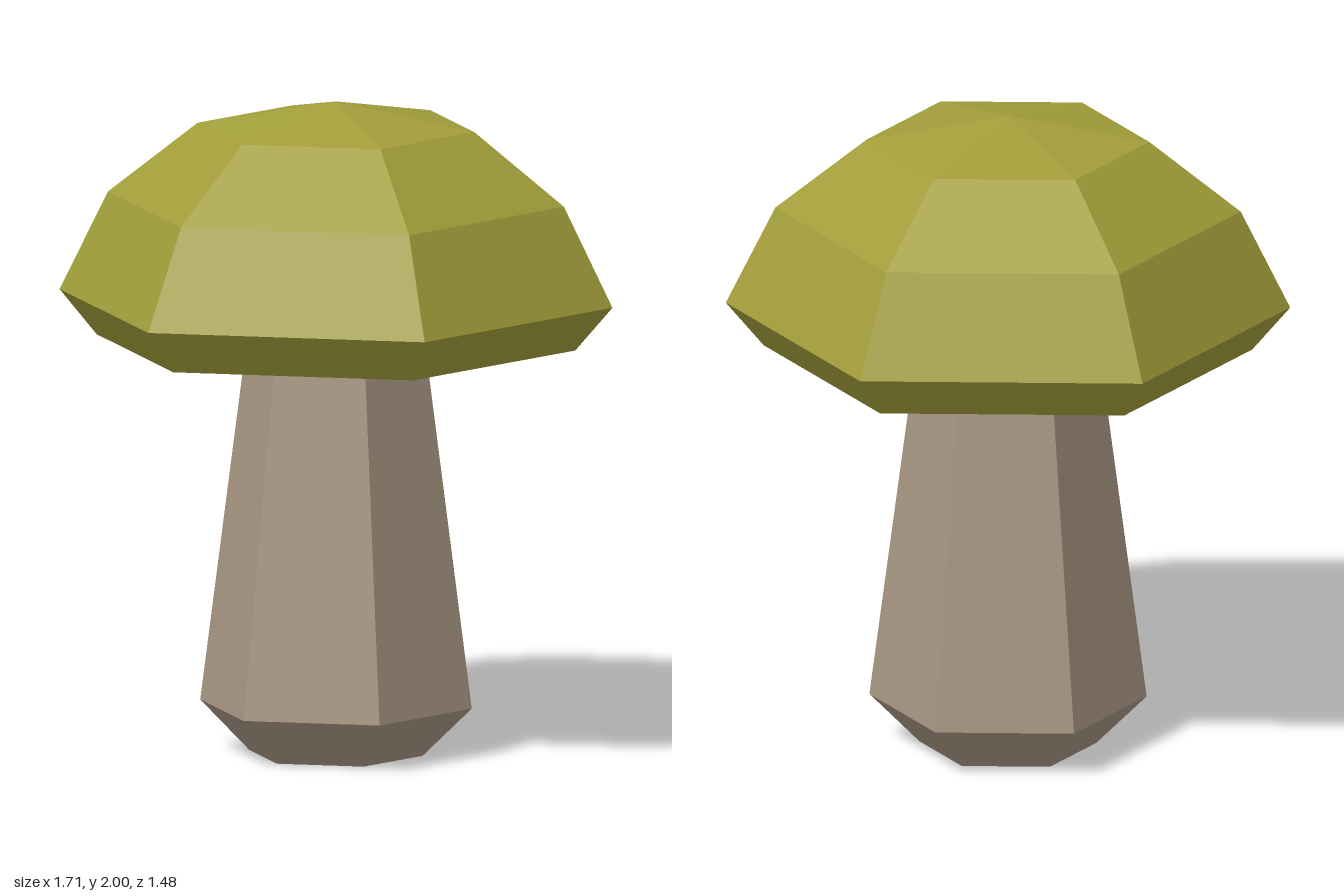
import * as THREE from 'three';

const capOlive = new THREE.MeshStandardMaterial({ color: 0xa29e3a });
const stemTan = new THREE.MeshStandardMaterial({ color: 0xa89682 });

// Six-sided faceted solid from a bottom-to-top profile, with corners on the x axis
function hexLathe(name, profile, material) {
  const points = profile.map(([r, y]) => new THREE.Vector2(r, y));
  const geometry = new THREE.LatheGeometry(points, 6, Math.PI / 2).toNonIndexed();
  geometry.computeVertexNormals();
  const mesh = new THREE.Mesh(geometry, material);
  mesh.name = name;
  return mesh;
}

export function createModel() {
  const mushroom = new THREE.Group();
  mushroom.name = 'mushroom';

  // Tapered stem with a bevelled foot, ending inside the cap
  mushroom.add(hexLathe('stem', [
    [0, 0], [0.268, 0], [0.42, 0.15], [0.268, 1.32], [0, 1.35],
  ], stemTan));

  // Domed cap with a slightly hollow underside
  mushroom.add(hexLathe('cap', [
    [0, 1.32], [0.74, 1.26], [0.855, 1.395], [0.705, 1.7], [0.428, 1.92], [0, 2],
  ], capOlive));

  return mushroom;
}
